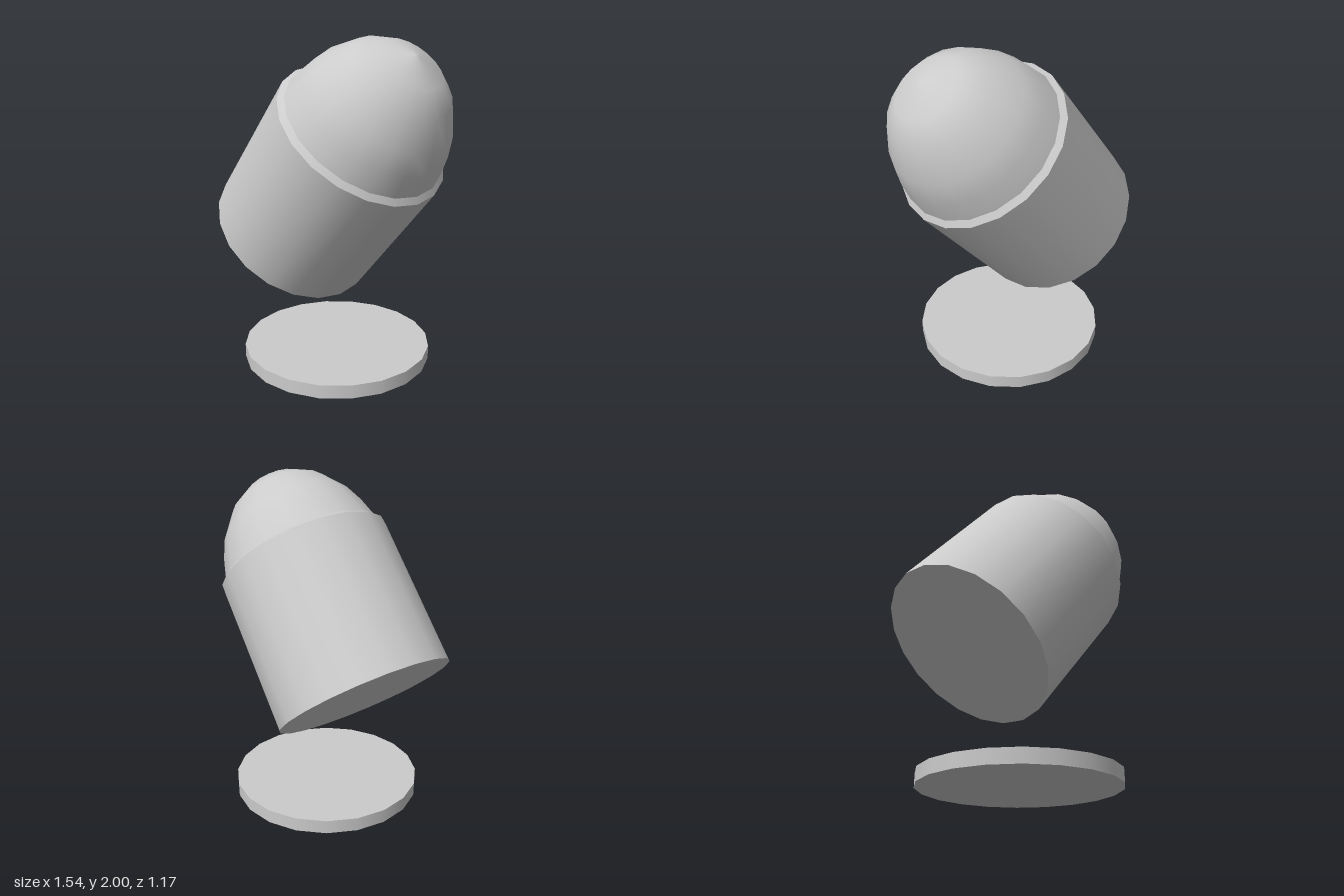
import * as THREE from 'three';

const SIDES = 20;
const TILT = -40.2 * Math.PI / 180;

export function createModel() {
  const model = new THREE.Group();
  const material = new THREE.MeshStandardMaterial({ color: 0xcccccc });

  const add = (parent, name, geometry, y) => {
    const mesh = new THREE.Mesh(geometry, material);
    mesh.name = name;
    mesh.position.y = y;
    parent.add(mesh);
    return mesh;
  };
  const lathe = (profile) =>
    new THREE.LatheGeometry(profile.map(([r, y]) => new THREE.Vector2(r, y)), SIDES);

  // Flat round base, slightly off centre
  const base = add(model, 'base', new THREE.CylinderGeometry(0.587, 0.587, 0.083, SIDES), 0.0415);
  base.position.x = 0.028;

  // Tilted capsule; its origin is the centre of the body's lower end
  const capsule = new THREE.Group();
  capsule.name = 'capsule';
  capsule.position.set(-0.357, 0.75, 0);
  capsule.rotation.z = TILT;
  model.add(capsule);

  const length = 0.936;
  add(capsule, 'body', new THREE.CylinderGeometry(0.541, 0.541, length, SIDES), length / 2);

  // Bevelled rim between body and dome
  add(capsule, 'rim', lathe([[0.541, 0], [0.508, 0.028]]), length);

  // Rounded dome with a small blunt tip
  add(capsule, 'dome', lathe([
    [0.508, 0.028], [0.474, 0.155], [0.425, 0.276], [0.316, 0.435],
    [0.196, 0.527], [0.022, 0.58], [0, 0.581],
  ]), length);

  return model;
}
